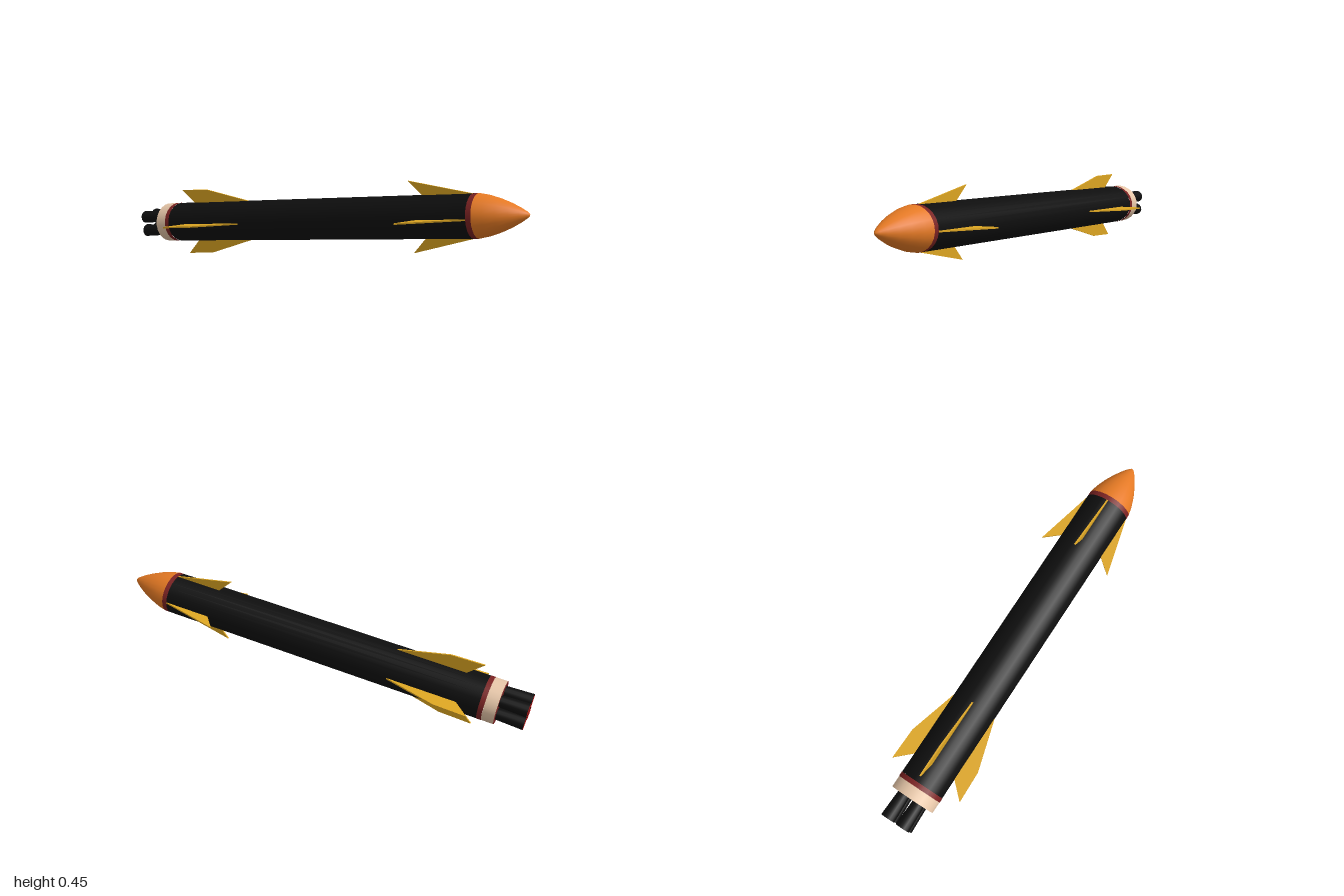
import * as THREE from 'three';

const mat = (name, color, side = THREE.FrontSide) => {
  const m = new THREE.MeshStandardMaterial({ color, side });
  m.name = name;
  return m;
};

export function createModel() {
  const black = mat('black', 0x0e0e0e);
  const orange = mat('orange', 0xe67a24);
  const gold = mat('gold', 0xdca522);
  const darkRed = mat('darkRed', 0x7a2222);
  const cream = mat('cream', 0xe6c6a8);
  const red = mat('red', 0xc81414);

  const model = new THREE.Group();
  model.name = 'rocket';

  // Tilted flight axis; the hull section is a slightly flattened circle
  const hull = new THREE.Group();
  hull.name = 'hull';
  const axis = new THREE.Vector3(1, 0.11, 0.115).normalize();
  hull.quaternion.setFromUnitVectors(new THREE.Vector3(1, 0, 0), axis);
  hull.position.set(0, 0.247, 0.012);
  hull.scale.set(1, 0.955, 1.085);
  model.add(hull);

  const add = (name, geo, material) => {
    const mesh = new THREE.Mesh(geo, material);
    mesh.name = name;
    hull.add(mesh);
    return mesh;
  };

  // Turned part: profile of [position along axis, radius], tail to nose
  const turned = (name, profile, material, segments = 24) => {
    const pts = profile.map(([s, r]) => new THREE.Vector2(r, s));
    const geo = new THREE.LatheGeometry(pts, segments);
    geo.rotateZ(-Math.PI / 2);
    return add(name, geo, material);
  };

  turned('tailPlate', [[-0.875, 0], [-0.875, 0.1]], darkRed);
  turned('tailRing', [[-0.875, 0.1], [-0.82, 0.1]], cream);
  turned('rearBand', [[-0.82, 0.101], [-0.798, 0.101]], darkRed);
  turned('body', [[-0.798, 0.1], [0.764, 0.1]], black);
  turned('noseBand', [[0.764, 0.1], [0.787, 0.1]], darkRed);
  turned('noseCone', [
    [0.787, 0.1], [0.83, 0.091], [0.88, 0.074], [0.925, 0.054],
    [0.965, 0.032], [0.99, 0.015], [0.999, 0.007], [1.002, 0],
  ], orange);

  // Fins: outline in the plane of axis and radius, four around the hull
  const fins = (name, outline) => {
    const shape = new THREE.Shape(outline.map(([s, r]) => new THREE.Vector2(s, r)));
    const depth = 0.007;
    const geo = new THREE.ExtrudeGeometry(shape, { depth, bevelEnabled: false });
    geo.translate(0, 0, -depth / 2);
    for (let i = 0; i < 4; i++) add(name, geo, gold).rotation.x = (i * Math.PI) / 2;
  };
  fins('tailFin', [[-0.685, 0.085], [-0.77, 0.169], [-0.617, 0.165], [-0.32, 0.085]]);
  fins('noseFin', [[0.55, 0.085], [0.475, 0.167], [0.764, 0.1], [0.764, 0.085]]);

  // Four flared engine nozzles with glowing ends
  for (const y of [-1, 1]) {
    for (const z of [-1, 1]) {
      const place = (mesh) => mesh.position.set(0, y * 0.036, z * 0.036);
      place(turned('nozzle', [[-1, 0.032], [-0.87, 0.027]], black, 16));
      place(turned('nozzleGlow', [[-1, 0], [-1, 0.032]], red, 16));
    }
  }
  return model;
}
